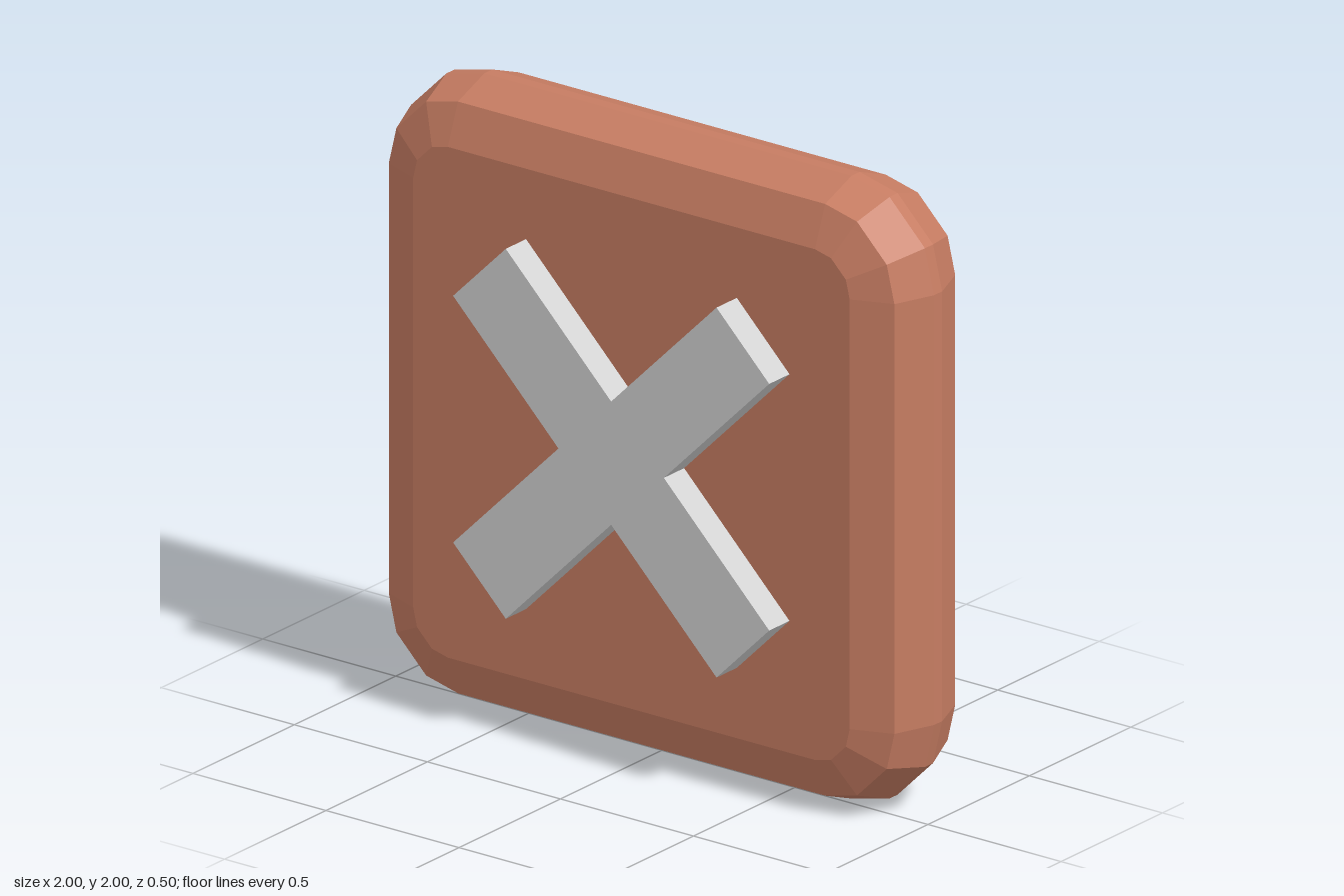
import * as THREE from 'three';

const clay = new THREE.MeshStandardMaterial({ color: 0xc67c62, flatShading: true });
clay.name = 'clay';
const grey = new THREE.MeshStandardMaterial({ color: 0xd2d2d2, flatShading: true });
grey.name = 'grey';

// Rounded-square loop, counter-clockwise seen from +z
function ring(half, z) {
  const inner = 0.69, r = half - inner;
  const arc = [[1, 0], [0.89, 0.46], [0.46, 0.89], [0, 1]];
  const points = [];
  for (let q = 0; q < 4; q++) {
    for (const [u, v] of arc) {
      let x = inner + u * r, y = inner + v * r;
      for (let k = 0; k < q; k++) [x, y] = [-y, x];
      points.push([x, y, z]);
    }
  }
  return points;
}

// Faceted slab: stacked loops from front to back, closed with flat caps
function slabGeometry(sections) {
  const rings = sections.map(([half, z]) => ring(half, z));
  const n = rings[0].length, pos = [];
  const tri = (a, b, c) => pos.push(...a, ...b, ...c);
  for (let s = 0; s < rings.length - 1; s++) {
    const a = rings[s], b = rings[s + 1];
    for (let i = 0; i < n; i++) {
      const j = (i + 1) % n;
      tri(a[i], b[i], a[j]);
      tri(a[j], b[i], b[j]);
    }
  }
  const front = rings[0], back = rings[rings.length - 1];
  for (let i = 1; i < n - 1; i++) {
    tri(front[0], front[i], front[i + 1]);
    tri(back[0], back[i + 1], back[i]);
  }
  const geometry = new THREE.BufferGeometry();
  geometry.setAttribute('position', new THREE.Float32BufferAttribute(pos, 3));
  geometry.computeVertexNormals();
  return geometry;
}

// Diagonal cross outline: a notch and two tip corners per arm
function crossGeometry() {
  const points = [];
  const arm = [[0.198, 0], [0.594, 0.396], [0.396, 0.594]];
  for (let q = 0; q < 4; q++) {
    for (let [x, y] of arm) {
      for (let k = 0; k < q; k++) [x, y] = [-y, x];
      points.push(new THREE.Vector2(x, y));
    }
  }
  return new THREE.ExtrudeGeometry(new THREE.Shape(points), { depth: 0.1, bevelEnabled: false });
}

export function createModel() {
  const model = new THREE.Group();
  model.name = 'crossTile';

  const tile = new THREE.Mesh(slabGeometry([
    [0.82, 0.15], [0.95, 0.1], [1, -0.03], [1, -0.07], [0.95, -0.2], [0.82, -0.25],
  ]), clay);
  tile.name = 'tile';
  tile.position.y = 1;
  model.add(tile);

  const cross = new THREE.Mesh(crossGeometry(), grey);
  cross.name = 'cross';
  cross.position.set(0, 1, 0.15);
  model.add(cross);

  return model;
}
